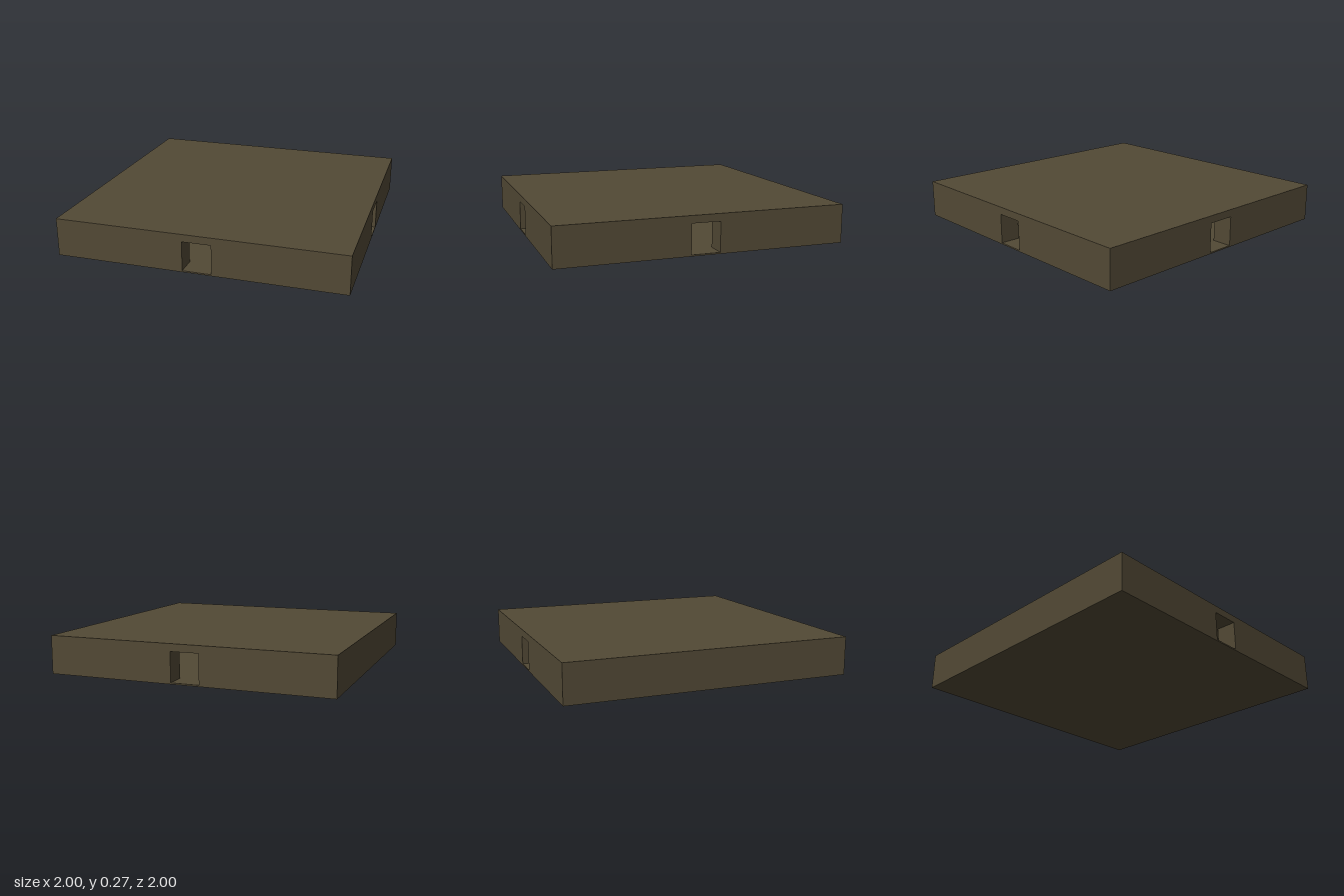
import * as THREE from 'three';

const FLOOR = 0.01, CEILING = 0.215, TOP = 0.267; // heights
const WALL = 0.14, DOOR = 0.1; // wall thickness, half the doorway width

export function createModel() {
  const group = new THREE.Group();
  const stone = new THREE.MeshStandardMaterial({ color: 0x524935 });
  stone.name = 'darkStone';

  // Box given by its two opposite corners
  const block = (name, x0, x1, y0, y1, z0, z1) => {
    const mesh = new THREE.Mesh(new THREE.BoxGeometry(x1 - x0, y1 - y0, z1 - z0), stone);
    mesh.position.set((x0 + x1) / 2, (y0 + y1) / 2, (z0 + z1) / 2);
    mesh.name = name;
    group.add(mesh);
  };

  // Floor and roof slabs
  block('floor', -1, 1, 0, FLOOR, -1, 1);
  block('roof', -1, 1, CEILING, TOP, -1, 1);

  // Front and back walls, each split by a doorway
  for (const [name, z] of [['frontWall', 1 - WALL], ['backWall', -1]]) {
    block(name, -1, -DOOR, FLOOR, CEILING, z, z + WALL);
    block(name, DOOR, 1, FLOOR, CEILING, z, z + WALL);
  }

  // Left wall with a doorway, closed right wall
  const inner = 1 - WALL;
  block('leftWall', inner, 1, FLOOR, CEILING, DOOR, inner);
  block('leftWall', inner, 1, FLOOR, CEILING, -inner, -DOOR);
  block('rightWall', -1, -inner, FLOOR, CEILING, -inner, inner);

  // Thin partition inside, opposite the left doorway
  block('partition', -inner, -0.15, FLOOR, CEILING, -0.008, 0.008);

  return group;
}
